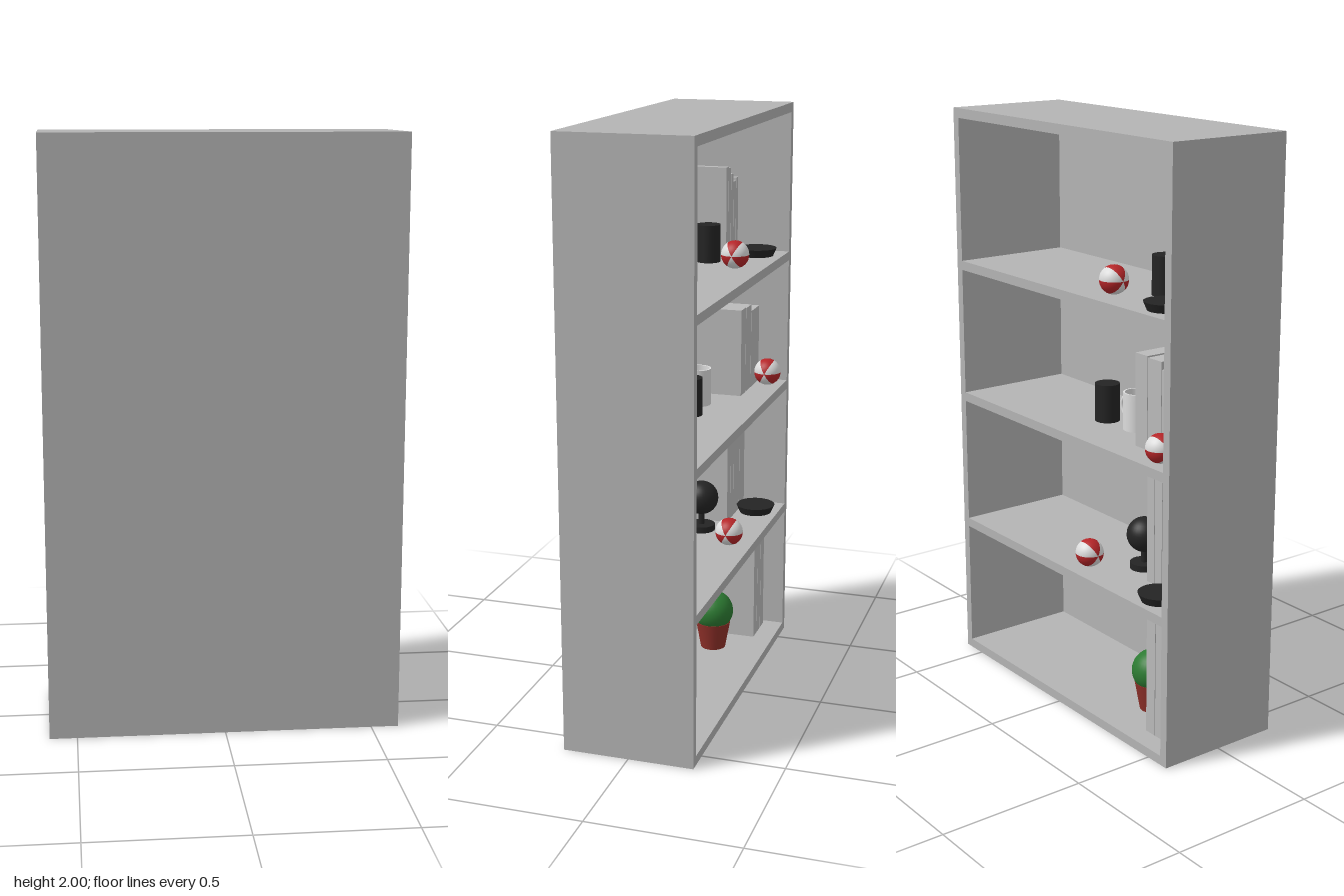
import * as THREE from 'three';

const material = (name, color) => {
  const m = new THREE.MeshStandardMaterial({ color });
  m.name = name;
  return m;
};

export function createModel() {
  const grey = material('shelf grey', 0xb4b4b4);
  const paper = material('book grey', 0xbababa);
  const white = material('white', 0xdcdcdc);
  const black = material('black', 0x242424);
  const red = material('ball red', 0xb52528);
  const clay = material('pot red', 0x8f3029);
  const green = material('leaf green', 0x2c7a32);

  const model = new THREE.Group();
  model.name = 'bookcase';

  const add = (name, geometry, mat, x, y, z, parent = model) => {
    const mesh = new THREE.Mesh(geometry, mat);
    mesh.name = name;
    mesh.position.set(x, y, z);
    parent.add(mesh);
    return mesh;
  };
  const box = (name, mat, x0, x1, y0, y1, z0, z1) =>
    add(name, new THREE.BoxGeometry(x1 - x0, y1 - y0, z1 - z0), mat,
      (x0 + x1) / 2, (y0 + y1) / 2, (z0 + z1) / 2);
  const lathe = (points) =>
    new THREE.LatheGeometry(points.map(([r, y]) => new THREE.Vector2(r, y)), 32);

  // Carcass, open towards -z
  const W = 0.593, D = 0.221, T = 0.03, inner = W - T, back = 0.2;
  const floors = [0.032, 0.515, 0.994, 1.472];
  for (const s of [-1, 1]) {
    const x = s * (W - T / 2);
    box('sidePanel', grey, x - T / 2, x + T / 2, 0, 2, -D, D);
  }
  box('backPanel', grey, -inner, inner, 0, 2, back, D);
  box('topPanel', grey, -inner, inner, 1.967, 2, -D, back);
  for (const y of floors) box('shelf', grey, -inner, inner, y - 0.032, y, -D, back);

  // Rows of upright books: floor, start x, front z, back z, [thickness, height]
  const books = (level, x, z0, z1, list) => {
    for (const [w, h] of list) {
      box('book', paper, x - w + 0.003, x, floors[level], floors[level] + h, z0, z1);
      x -= w;
    }
  };
  books(0, -0.4, -0.15, 0.18, [[0.047, 0.416], [0.047, 0.415], [0.047, 0.41]]);
  books(1, -0.3, -0.072, 0.17, [[0.04, 0.385], [0.04, 0.375], [0.08, 0.33], [0.07, 0.32]]);
  books(2, -0.296, -0.12, 0.1, [[0.063, 0.309], [0.07, 0.305], [0.11, 0.28]]);
  books(3, -0.384, -0.037, 0.16, [[0.03, 0.315], [0.03, 0.31], [0.03, 0.285], [0.035, 0.255], [0.028, 0.265]]);

  // Balls of six alternating wedges meeting on the x axis
  const ball = (level, x, z) => {
    const group = new THREE.Group();
    group.name = 'ball';
    group.position.set(x, floors[level] + 0.048, z);
    for (let i = 0; i < 6; i++) {
      const wedge = new THREE.SphereGeometry(0.048, 6, 20, (210 + 60 * i) * Math.PI / 180, Math.PI / 3);
      wedge.rotateZ(Math.PI / 2);
      add('ballWedge', wedge, i % 2 ? red : white, 0, 0, 0, group);
    }
    model.add(group);
  };
  ball(1, -0.078, -0.143);
  ball(2, -0.483, -0.168);
  ball(3, -0.189, -0.125);

  // Canisters
  const canister = (level, x, z) =>
    add('canister', new THREE.CylinderGeometry(0.042, 0.042, 0.13, 32), black, x, floors[level] + 0.065, z);
  canister(2, -0.015, -0.02);
  canister(3, -0.291, 0);

  // Shallow dishes
  const dish = (level, x, z) =>
    add('dish', new THREE.CylinderGeometry(0.07, 0.058, 0.028, 32), black, x, floors[level] + 0.014, z);
  dish(1, -0.448, -0.139);
  dish(3, -0.456, -0.13);

  // Mug with its handle towards +x
  const mug = new THREE.Group();
  mug.name = 'mug';
  mug.position.set(-0.156, floors[2], -0.003);
  add('mugBody', lathe([[0, 0], [0.047, 0], [0.047, 0], [0.047, 0.128], [0.047, 0.128],
    [0.041, 0.128], [0.041, 0.128], [0.041, 0.008], [0.041, 0.008], [0, 0.008]]), white, 0, 0, 0, mug);
  const handle = new THREE.TorusGeometry(0.037, 0.007, 10, 20, Math.PI);
  handle.rotateZ(-Math.PI / 2);
  add('mugHandle', handle, white, 0.044, 0.066, 0, mug);
  model.add(mug);

  // Globe on a stand
  const globe = new THREE.Group();
  globe.name = 'globe';
  globe.position.set(-0.201, floors[1], -0.005);
  add('globeBase', new THREE.CylinderGeometry(0.048, 0.048, 0.022, 32), black, 0, 0.011, 0, globe);
  add('globeStem', new THREE.CylinderGeometry(0.011, 0.011, 0.06, 16), black, 0, 0.045, 0, globe);
  add('globeSphere', new THREE.SphereGeometry(0.06, 32, 20), black, 0, 0.12, 0, globe);
  model.add(globe);

  // Potted plant
  const plant = new THREE.Group();
  plant.name = 'pottedPlant';
  plant.position.set(-0.282, floors[0], -0.027);
  add('pot', new THREE.CylinderGeometry(0.063, 0.045, 0.1, 32), clay, 0, 0.05, 0, plant);
  add('foliage', new THREE.SphereGeometry(0.073, 32, 20), green, 0, 0.14, 0, plant);
  model.add(plant);

  return model;
}
